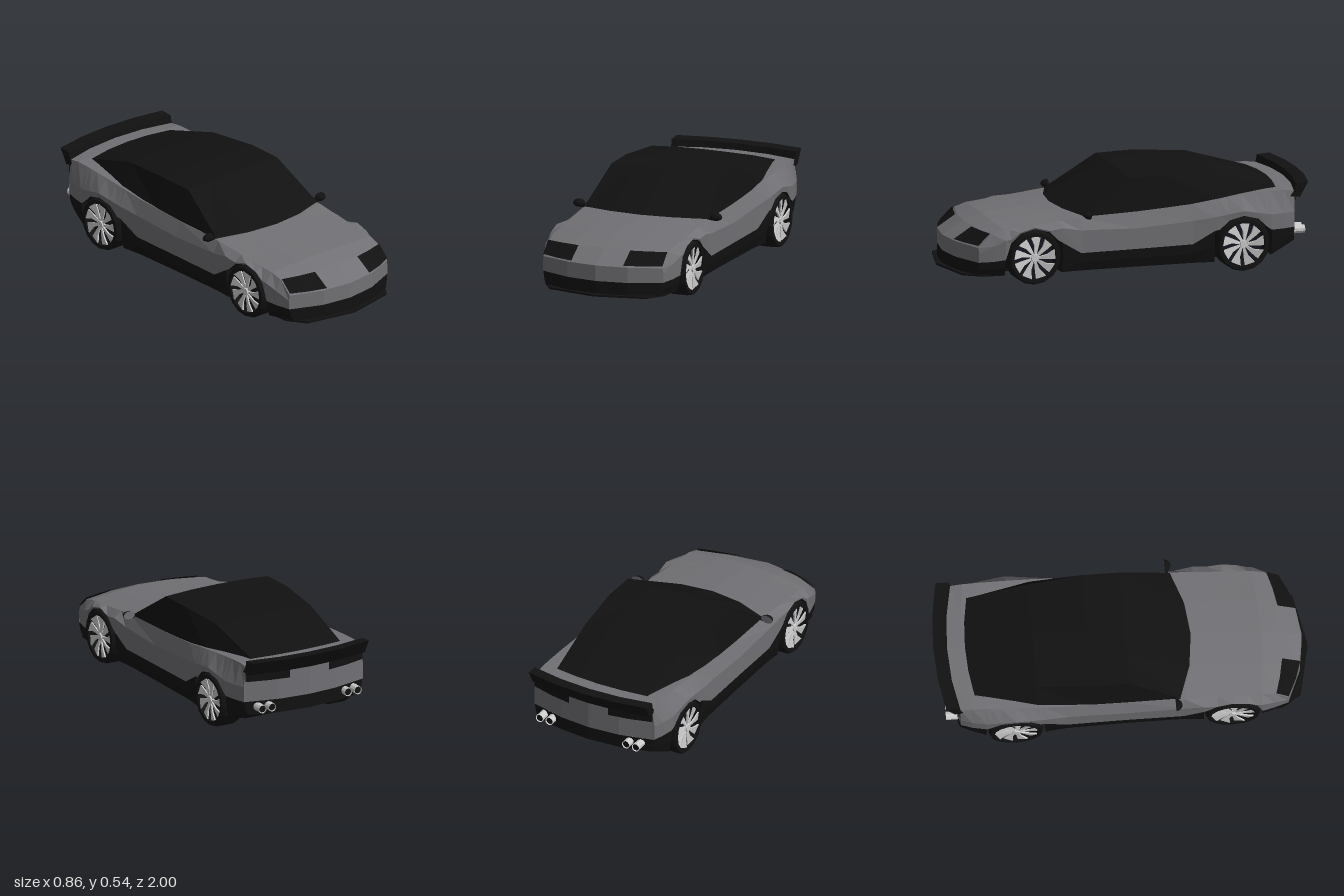
import * as THREE from 'three';

const mat = (color) => new THREE.MeshStandardMaterial({ color, flatShading: true, side: THREE.DoubleSide });
const paint = mat(0x717074), black = mat(0x111111), metal = mat(0xcccccc), inner = mat(0x15151f);
const { lerp } = THREE.MathUtils;

function add(parent, name, geometry, material) {
  const mesh = new THREE.Mesh(geometry, material);
  mesh.name = name;
  parent.add(mesh);
  return mesh;
}

// Surface through rows of [x, y, z] points
function loft(rows) {
  const n = rows[0].length, index = [];
  for (let i = 0; i < rows.length - 1; i++) {
    for (let j = 0; j < n - 1; j++) {
      const a = i * n + j, b = a + 1, c = a + n, d = c + 1;
      index.push(a, c, b, b, c, d);
    }
  }
  const g = new THREE.BufferGeometry();
  g.setAttribute('position', new THREE.Float32BufferAttribute(rows.flat(2), 3));
  g.setIndex(index);
  g.computeVertexNormals();
  return g;
}

// Bowed cross-section: half outline [x, y] from the left edge to the centre, mirrored
const bowed = (z, bow, x) => z + bow * Math.max(0, 1 - (x / 0.36) ** 2);
function section(z, bow, half) {
  const left = half.map(([x, y]) => [x, y, bowed(z, bow, x)]);
  const right = left.slice(0, -1).reverse().map(([x, y, w]) => [-x, y, w]);
  return [...left, ...right];
}
const flatten = (row, y) => row.map(([x, , z]) => [x, y, z]);

// Key stations: z, bow, lower edge x y, waist y, shoulder x y, centre y
const keys = [
  [0.86, 0.108, 0.345, 0.13, 0.18, 0.345, 0.21, 0.215],
  [0.79, 0.06, 0.37, 0.135, 0.22, 0.345, 0.28, 0.285],
  [0.73, 0.02, 0.388, 0.145, 0.25, 0.35, 0.3, 0.322],
  [0.415, 0.03, 0.396, 0.22, 0.3, 0.357, 0.333, 0.35],
  [0.31, 0.07, 0.387, 0.155, 0.28, 0.36, 0.345, 0.357],
  [0, 0, 0.385, 0.157, 0.27, 0.36, 0.355, 0.355],
  [-0.31, 0, 0.388, 0.162, 0.29, 0.364, 0.375, 0.375],
  [-0.43, 0, 0.4, 0.23, 0.305, 0.365, 0.39, 0.39],
  [-0.587, 0, 0.411, 0.23, 0.33, 0.362, 0.405, 0.405],
  [-0.745, 0, 0.4, 0.215, 0.3, 0.358, 0.416, 0.416],
  [-0.82, -0.02, 0.385, 0.215, 0.3, 0.356, 0.418, 0.42],
  [-0.88, -0.062, 0.365, 0.215, 0.3, 0.354, 0.41, 0.415],
];
const FRONT = 0.57, REAR = -0.587;
const wheelOffset = (z) => z - (z > 0 ? FRONT : REAR);

// Extra stations around each wheel, where the lower edge rises in an arch
function bodyStations() {
  const arch = [FRONT, REAR].flatMap((c) => [0.13, 0.08, 0, -0.08, -0.13].map((o) => c + o));
  const zs = [...new Set([...keys.map((k) => k[0]), ...arch])].sort((a, b) => b - a);
  return zs.map((z) => {
    const i = Math.max(1, keys.findIndex((k) => k[0] <= z));
    const a = keys[i - 1], b = keys[i], t = (a[0] - z) / (a[0] - b[0]);
    const s = a.map((value, k) => lerp(value, b[k], t));
    const d = wheelOffset(z);
    if (Math.abs(d) < 0.15) s[3] = Math.max(s[3], 0.147 + Math.sqrt(0.157 ** 2 - d * d));
    s[4] = Math.max(s[4], s[3] + 0.008);
    return s;
  });
}
const stations = bodyStations();

function upperBody() {
  const rows = stations.map(([z, bow, xl, yl, ym, xs, ys, yc]) =>
    section(z, bow, [[xl, yl], [xl + 0.004, ym], [xs, ys], [xs / 2, lerp(ys, yc, 0.75)], [0, yc]]));
  return loft([flatten(rows[0], 0.13), ...rows, flatten(rows.at(-1), 0.215)]);
}

// Sills and floor, narrowed where the wheels sit
function lowerBody() {
  const rows = [];
  for (const [z, bow, xl, yl] of stations) {
    const yb = z < -0.74 ? 0.075 + (-0.745 - z) * 0.48 : 0.056;
    const wide = section(z, bow, [[xl, yl], [xl - 0.005, (yl + yb) / 2], [xl - 0.02, yb], [xl / 2, yb], [0, yb]]);
    const slim = section(z, bow, [[xl, yl], [0.27, yl], [0.27, yb], [0.135, yb], [0, yb]]);
    const off = wheelOffset(z), d = Math.abs(off);
    if (d < 0.15) rows.push(slim);
    else if (d < 0.165) rows.push(...(off > 0 ? [wide, slim] : [slim, wide]));
    else rows.push(wide);
  }
  return loft([flatten(rows[0], 0.13), ...rows, flatten(rows.at(-1), 0.215)]);
}

// Cabin: z, bow, base x y, roof edge x y, centre y
function cabin() {
  return loft([
    [0.29, 0.085, 0.358, 0.335, 0.357, 0.35, 0.358],
    [0.02, 0.005, 0.36, 0.345, 0.315, 0.528, 0.538],
    [-0.18, 0, 0.363, 0.355, 0.315, 0.533, 0.543],
    [-0.47, 0, 0.355, 0.38, 0.292, 0.515, 0.525],
    [-0.78, -0.05, 0.28, 0.405, 0.275, 0.42, 0.425],
  ].map(([z, bow, xb, yb, xr, yr, yc]) =>
    section(z, bow, [[xb, yb], [xr, yr], [xr / 2, lerp(yr, yc, 0.8)], [0, yc]])));
}

// Rear wing swept across the tail
function wing() {
  const rows = [-0.36, -0.18, 0, 0.18, 0.36].map((x) => {
    const s = 0.042 * (x / 0.36) ** 2;
    return [[0.38, -0.9], [0.415, -0.925], [0.45, -0.932], [0.455, -1], [0.375, -0.955], [0.38, -0.9]]
      .map(([y, z]) => [x, y, z + s]);
  });
  const cap = (row) => row.map(() => [row[0][0], 0.42, row[2][2]]);
  return loft([cap(rows[0]), ...rows, cap(rows[4])]);
}

// Lamp patches laid on the nose slope and tail
function headlight(side) {
  const [a, b] = keys;
  return loft([0.08, 0.97].map((t) => [0.15, 0.25, 0.345].map((x) => [
    side * x,
    lerp(a[6], b[6], t) + 0.007,
    lerp(bowed(a[0], a[1], x), bowed(b[0], b[1], x), t) + 0.008,
  ])));
}
const taillight = (side) => loft([0.33, 0.39].map((y) =>
  [0.12, 0.24, 0.362].map((x) => [side * x, y, bowed(-0.888, -0.062, x)])));

function splitter() {
  const half = [[0.35, 0.74], [0.345, 0.84], [0.28, 0.94], [0, 1]];
  const pts = [...half, ...half.slice(0, -1).reverse().map(([x, z]) => [-x, z])];
  const shape = new THREE.Shape(pts.map(([x, z]) => new THREE.Vector2(x, -z)));
  return new THREE.ExtrudeGeometry(shape, { depth: 0.01, bevelEnabled: false }).rotateX(-Math.PI / 2).translate(0, 0.052, 0);
}

// Wheel facing local +z, outer face at z = 0
function wheel(width) {
  const g = new THREE.Group();
  const tire = [[0, -width], [0.138, -width], [0.147, -width + 0.015], [0.147, -0.018], [0.138, 0], [0.118, 0], [0.112, -0.045]]
    .map(([r, h]) => new THREE.Vector2(r, h));
  add(g, 'tire', new THREE.LatheGeometry(tire, 16).rotateX(Math.PI / 2), black);
  add(g, 'rimBack', new THREE.CircleGeometry(0.114, 16).translate(0, 0, -0.044), inner);
  const p = (r, deg) => new THREE.Vector2(r * Math.cos(deg * Math.PI / 180), r * Math.sin(deg * Math.PI / 180));
  const blade = new THREE.ExtrudeGeometry(
    new THREE.Shape([p(0.018, -18), p(0.075, -8), p(0.116, -6), p(0.116, 22), p(0.07, 14), p(0.018, 18)]),
    { depth: 0.008, bevelEnabled: false });
  for (let i = 0; i < 9; i++) {
    const spoke = add(g, 'spoke', blade, metal);
    spoke.rotation.set(0.2, 0, i * Math.PI * 2 / 9, 'ZYX');
    spoke.position.z = -0.018;
  }
  add(g, 'hub', new THREE.CylinderGeometry(0.02, 0.024, 0.02, 9).rotateX(Math.PI / 2).translate(0, 0, -0.012), metal);
  return g;
}

export function createModel() {
  const car = new THREE.Group();
  car.name = 'sportsCar';
  add(car, 'upperBody', upperBody(), paint);
  add(car, 'lowerBody', lowerBody(), black);
  add(car, 'cabin', cabin(), black);
  add(car, 'rearWing', wing(), black);
  add(car, 'frontSplitter', splitter(), black);

  for (const side of [1, -1]) {
    add(car, 'headlight', headlight(side), black);
    add(car, 'taillight', taillight(side), black);

    for (const [z, outer, name] of [[FRONT, 0.402, 'frontWheel'], [REAR, 0.412, 'rearWheel']]) {
      const w = wheel(outer - 0.28);
      w.name = name;
      w.position.set(side * outer, 0.147, z);
      w.rotation.y = side * Math.PI / 2;
      car.add(w);
    }

    // Mirror: domed shell with a flat glass facing back
    const mirror = new THREE.Group();
    mirror.name = 'mirror';
    add(mirror, 'mirrorShell', new THREE.SphereGeometry(1, 10, 4, 0, Math.PI * 2, 0, Math.PI / 2)
      .rotateX(Math.PI / 2).scale(0.035, 0.023, 0.035), black);
    add(mirror, 'mirrorGlass', new THREE.CircleGeometry(1, 10).rotateY(Math.PI).scale(0.035, 0.023, 1), paint);
    add(mirror, 'mirrorStalk', new THREE.BoxGeometry(0.05, 0.012, 0.015).translate(-side * 0.035, -0.012, 0.01), black);
    mirror.position.set(side * 0.396, 0.361, 0.265);
    car.add(mirror);

    // Twin exhausts
    for (const x of [0.235, 0.295]) {
      const pipe = add(car, 'exhaustPipe', new THREE.CylinderGeometry(0.023, 0.023, 0.08, 10, 1, true).rotateX(Math.PI / 2), metal);
      pipe.position.set(side * x, 0.185, -0.915);
      const bore = add(car, 'exhaustBore', new THREE.CircleGeometry(0.019, 10).rotateY(Math.PI), black);
      bore.position.set(side * x, 0.185, -0.95);
    }
  }
  return car;
}
